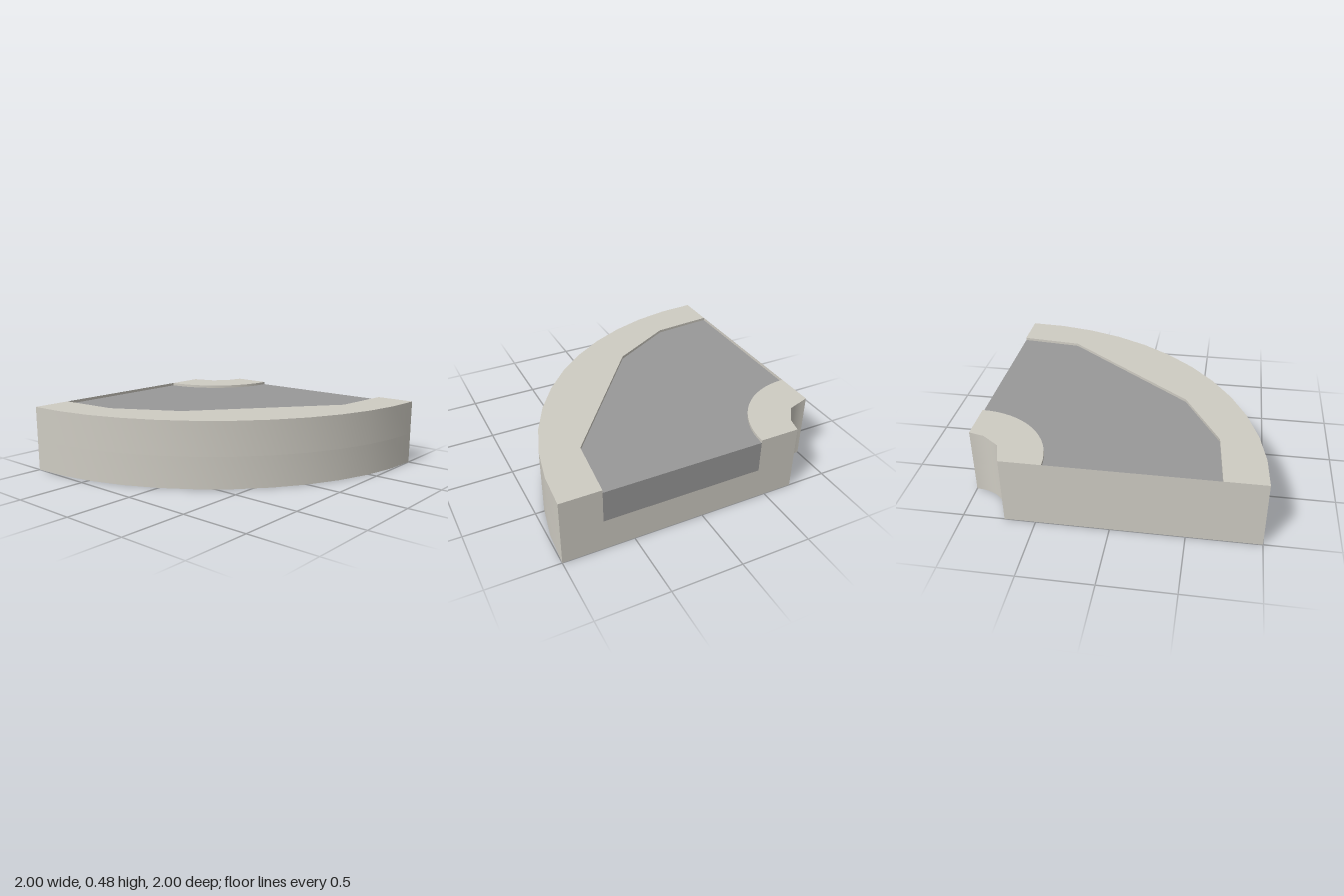
import * as THREE from 'three';
import { toCreasedNormals } from 'three/addons/utils/BufferGeometryUtils.js';

const FLOOR = 0.23, ROAD = 0.46, TOP = 0.48;
const kerbMat = new THREE.MeshStandardMaterial({ color: 0xcfccc3 });
const roadMat = new THREE.MeshStandardMaterial({ color: 0x999999 });
const wallMat = new THREE.MeshStandardMaterial({ color: 0xcfccc3, side: THREE.DoubleSide });

// quarter arc around the inner corner (1, -1), as [x, z] from the back edge to the right edge
function arc(radius, segments) {
  return Array.from({ length: segments + 1 }, (_, i) => {
    const a = (i / segments) * Math.PI / 2;
    return [1 - radius * Math.cos(a), -1 + radius * Math.sin(a)];
  });
}

// plan shape between an outer and an inner line; plan z becomes -y in the shape
function planShape(outer, inner) {
  const points = [...outer, ...[...inner].reverse()];
  return new THREE.Shape(points.map(([x, z]) => new THREE.Vector2(x, -z)));
}

function slab(name, outer, inner, y0, y1, material) {
  const raw = new THREE.ExtrudeGeometry(planShape(outer, inner), { depth: y1 - y0, bevelEnabled: false });
  raw.rotateX(-Math.PI / 2).translate(0, y0, 0);
  const mesh = new THREE.Mesh(toCreasedNormals(raw, 0.7), material);
  mesh.name = name;
  return mesh;
}

export function createModel() {
  const group = new THREE.Group();
  group.name = 'curvedRoadTile';

  const outerEdge = arc(2, 12);
  const roadOuter = [[-0.714, -1], [-0.675, -0.55], [-0.41, -0.08], [0.55, 0.672], [1, 0.714]];
  const roadInner = arc(0.571, 16);
  const notch = arc(0.286, 16);

  // base and the two raised kerbs
  group.add(slab('base', outerEdge, notch, 0, FLOOR, kerbMat));
  group.add(slab('outerKerb', outerEdge, roadOuter, FLOOR, TOP, kerbMat));
  group.add(slab('innerKerb', roadInner, notch, FLOOR, TOP, kerbMat));

  // sunken road, held just clear of the thin back wall
  const clear = ([x, z]) => [x, Math.max(z, -0.998)];
  group.add(slab('road', roadOuter.map(clear), roadInner.map(clear), FLOOR, ROAD, roadMat));

  // coarse top cap that slightly overhangs the notch
  const coarse = [[0.714, -1], [0.77, -0.83], [0.89, -0.74], [1, -0.714]];
  const capGeo = new THREE.ShapeGeometry(planShape(roadInner, coarse));
  capGeo.rotateX(-Math.PI / 2).translate(0, TOP, 0);
  const cap = new THREE.Mesh(capGeo, kerbMat);
  cap.name = 'innerKerbCap';
  group.add(cap);

  // thin wall closing the back end of the road
  const x0 = roadOuter[0][0], x1 = roadInner[0][0];
  const wall = new THREE.Mesh(new THREE.PlaneGeometry(x1 - x0, TOP - FLOOR).rotateY(Math.PI), wallMat);
  wall.position.set((x0 + x1) / 2, (FLOOR + TOP) / 2, -1);
  wall.name = 'backWall';
  group.add(wall);

  return group;
}
